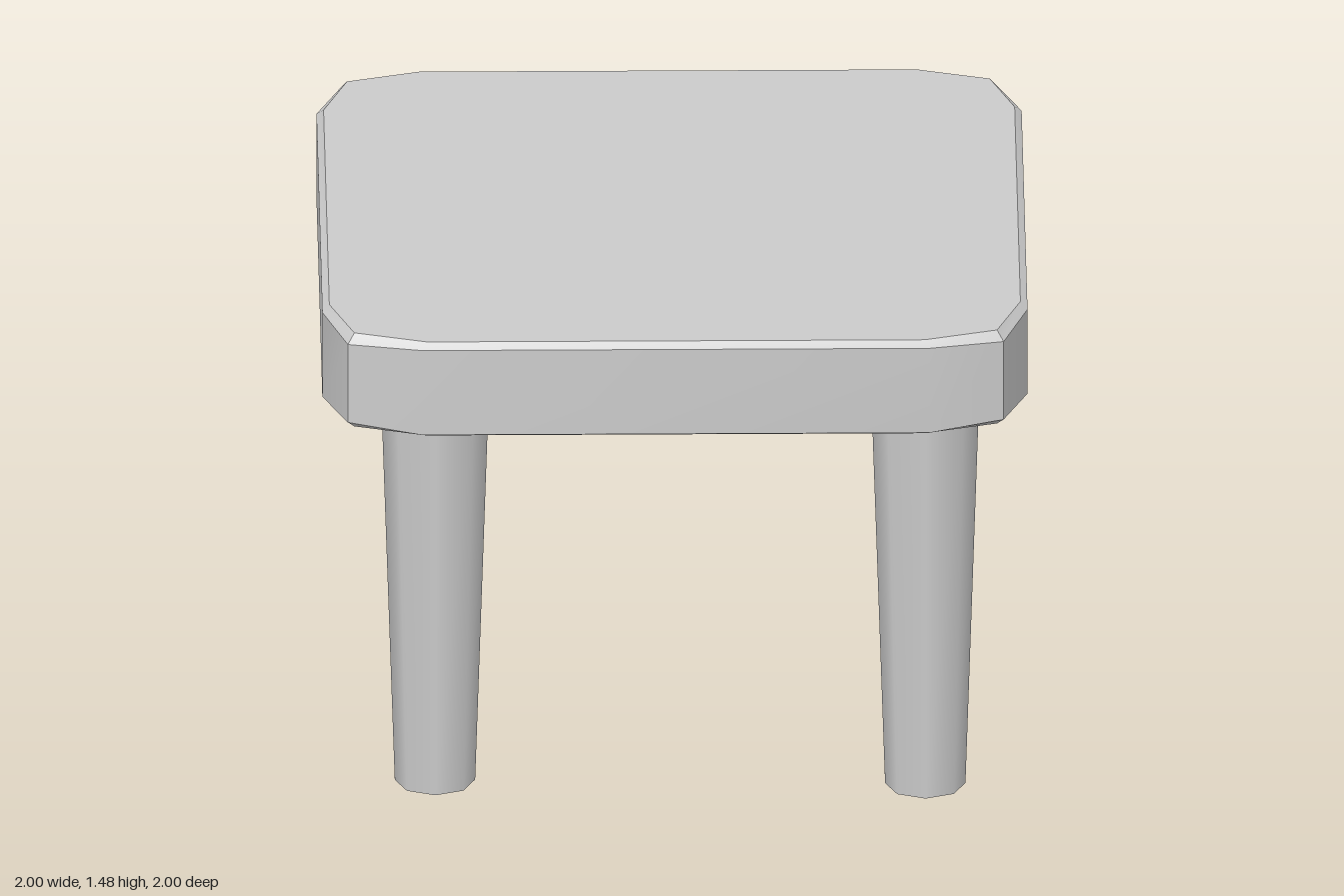
import * as THREE from 'three';
import { toCreasedNormals } from 'three/addons/utils/BufferGeometryUtils.js';

const material = new THREE.MeshStandardMaterial({ color: 0xcccccc, side: THREE.DoubleSide });

// Square outline with softened corners: one corner turned through four quarters
function seatOutline() {
  let corner = [[1, 0.72], [0.93, 0.93], [0.72, 1]];
  const points = [];
  for (let q = 0; q < 4; q++) {
    points.push(...corner);
    corner = corner.map(([x, z]) => [-z, x]);
  }
  return points;
}

// Seat shell: chamfered rings closed on top, open underneath
function seatGeometry() {
  const outline = seatOutline();
  const n = outline.length;
  // height, scale, height change at the corner points
  const rings = [[1.19, 0.98, 0], [1.2, 1, 0.01], [1.46, 1, -0.01], [1.478, 0.98, 0]];
  const positions = [];
  const index = [];
  for (const [y, scale, cornerShift] of rings) {
    outline.forEach(([x, z], i) => {
      positions.push(x * scale, y + (i % 3 === 1 ? cornerShift : 0), z * scale);
    });
  }
  const centre = positions.length / 3;
  positions.push(0, 1.478, 0);
  for (let i = 0; i < n; i++) {
    const j = (i + 1) % n;
    for (let r = 0; r < rings.length - 1; r++) {
      const a = r * n + i, b = r * n + j;
      index.push(a, a + n, b, b, a + n, b + n);
    }
    const top = (rings.length - 1) * n;
    index.push(centre, top + j, top + i);
  }
  const geometry = new THREE.BufferGeometry();
  geometry.setAttribute('position', new THREE.Float32BufferAttribute(positions, 3));
  geometry.setIndex(index);
  return toCreasedNormals(geometry, 0.55);
}

export function createModel() {
  const group = new THREE.Group();
  group.name = 'stool';

  const seat = new THREE.Mesh(seatGeometry(), material);
  seat.name = 'seat';
  group.add(seat);

  // Tapered hollow legs
  const height = 1.19;
  const legGeometry = new THREE.CylinderGeometry(0.153, 0.114, height, 8, 1, true);
  const legs = [
    ['frontLeftLeg', 0.71, 0.715],
    ['frontRightLeg', -0.68, 0.675],
    ['backLeftLeg', 0.71, -0.6],
    ['backRightLeg', -0.68, -0.6],
  ];
  for (const [name, x, z] of legs) {
    const leg = new THREE.Mesh(legGeometry, material);
    leg.name = name;
    leg.position.set(x, height / 2, z);
    group.add(leg);
  }
  return group;
}
